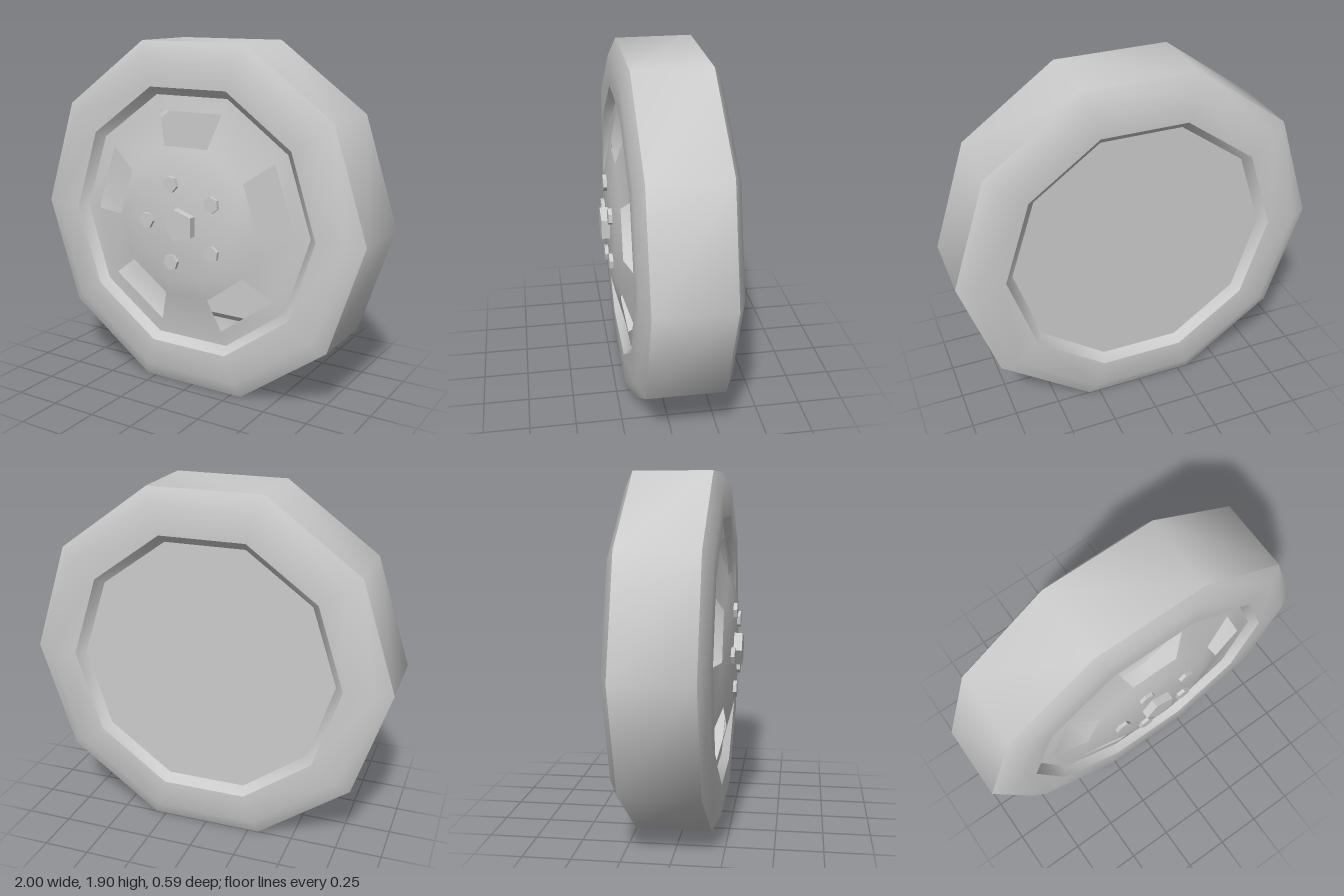
import * as THREE from 'three';
import { mergeGeometries, toCreasedNormals } from 'three/addons/utils/BufferGeometryUtils.js';

const SIDES = 10;
const STEP = (Math.PI * 2) / SIDES;
const material = new THREE.MeshStandardMaterial({ color: 0xcccccc, side: THREE.DoubleSide });

// Revolve [radius, z] pairs about the z axis; angles run from +x towards +y
function revolve(profile, start = 0, segments = SIDES) {
  const points = profile.map(([r, z]) => new THREE.Vector2(r, z));
  return new THREE.LatheGeometry(points, segments, Math.PI / 2 + start, segments * STEP)
    .rotateX(Math.PI / 2);
}

function addMesh(parent, geometry, name) {
  const mesh = new THREE.Mesh(toCreasedNormals(geometry, THREE.MathUtils.degToRad(40)), material);
  mesh.name = name;
  parent.add(mesh);
  return mesh;
}

// Prism along z with one corner pointing to +x
function prism(radius, sides, z0, z1) {
  return new THREE.CylinderGeometry(radius, radius, z1 - z0, sides, 1, false, Math.PI / 2)
    .rotateX(Math.PI / 2)
    .translate(0, 0, (z0 + z1) / 2);
}

export function createModel() {
  const group = new THREE.Group();
  const wheel = new THREE.Group();
  wheel.name = 'wheel';
  wheel.position.y = Math.cos(STEP / 2);
  group.add(wheel);

  // Hollow tyre shell with chamfered shoulders and inner lips
  addMesh(wheel, revolve([
    [0.705, -0.25], [0.75, -0.295], [0.91, -0.295], [1, -0.25],
    [1, 0.16], [0.91, 0.205], [0.75, 0.205], [0.705, 0.162],
  ]), 'tyre');

  // Flat plate closing the back
  addMesh(wheel, revolve([[0, -0.25], [0.705, -0.25]]), 'backPlate');

  // Shallow conical rim: outer ring, five spokes with open windows between, flat centre
  const rimParts = [
    revolve([[0.705, 0.162], [0.62, 0.172]]),
    revolve([[0.43, 0.22], [0.31, 0.25], [0, 0.25]]),
  ];
  for (let i = 0; i < 5; i++) {
    rimParts.push(revolve([[0.62, 0.172], [0.43, 0.22]], (2 * i + 1) * STEP, 1));
  }
  addMesh(wheel, mergeGeometries(rimParts), 'rim');

  // Five-sided hub cap
  addMesh(wheel, prism(0.092, 5, 0.24, 0.295), 'hubCap').rotation.z = Math.PI;

  // Ring of hexagonal wheel bolts
  for (let i = 0; i < 5; i++) {
    const bolt = addMesh(wheel, prism(0.045, 6, 0.24, 0.27).translate(0.226, 0, 0), 'wheelBolt');
    bolt.rotation.z = (2 * i + 1) * STEP;
  }

  return group;
}
